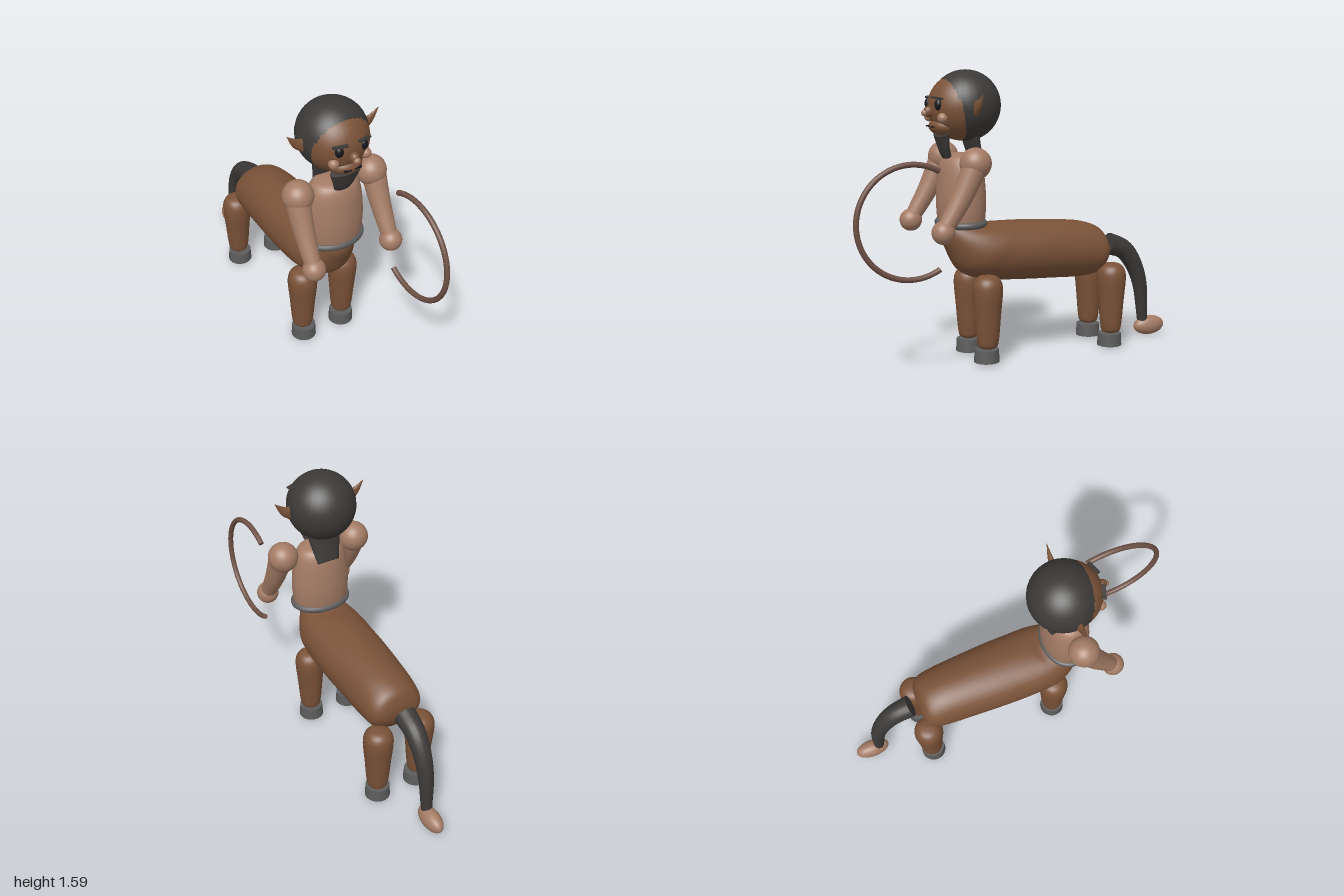
import * as THREE from 'three';
import { toCreasedNormals } from 'three/addons/utils/BufferGeometryUtils.js';

const V = (x, y, z) => new THREE.Vector3(x, y, z);
const mat = (color) => new THREE.MeshStandardMaterial({ color });
const skin = mat(0xa47c66), brown = mat(0x7a5238), hair = mat(0x3c3a38);
const hoofGrey = mat(0x5c5c5c), wood = mat(0x6e5146), black = mat(0x17181c);

export function createModel() {
  const model = new THREE.Group();

  function add(name, geometry, material, x = 0, y = 0, z = 0, parent = model) {
    const mesh = new THREE.Mesh(geometry, material);
    mesh.name = name;
    mesh.position.set(x, y, z);
    parent.add(mesh);
    return mesh;
  }

  function ellipsoid(name, material, [x, y, z], rx, ry = rx, rz = rx) {
    return add(name, new THREE.SphereGeometry(1, 32, 24).scale(rx, ry, rz), material, x, y, z);
  }

  // Capped tube along a curve, tapering from r0 to r1; sx and sz flatten the section
  function taper(points, r0, r1, sx = 1, sz = 1) {
    const n = 24, sides = 20;
    const curve = new THREE.CatmullRomCurve3(points);
    const geo = new THREE.TubeGeometry(curve, n, 1, sides, false);
    const pos = geo.attributes.position, p = V(0, 0, 0);
    for (let i = 0; i <= n; i++) {
      const center = curve.getPointAt(i / n);
      const t = i <= 1 ? 0 : i >= n - 1 ? 1 : i / n;
      const target = curve.getPointAt(t);
      const r = i === 0 || i === n ? 0 : r0 + (r1 - r0) * t;
      for (let j = 0; j <= sides; j++) {
        const k = i * (sides + 1) + j;
        p.fromBufferAttribute(pos, k).sub(center).multiplyScalar(r);
        pos.setXYZ(k, target.x + p.x * sx, target.y + p.y, target.z + p.z * sz);
      }
    }
    return toCreasedNormals(geo, 0.9);
  }

  // Loft between a back line and a belly line; x holds the half width
  function loft(backPts, bellyPts) {
    const back = new THREE.CatmullRomCurve3(backPts), belly = new THREE.CatmullRomCurve3(bellyPts);
    const n = 48, sides = 40, verts = [], index = [];
    for (let i = 0; i <= n; i++) {
      const a = back.getPoint(i / n), b = belly.getPoint(i / n);
      for (let j = 0; j < sides; j++) {
        const t = (j / sides) * Math.PI * 2, c = Math.cos(t) / 2;
        verts.push(a.x * Math.sin(t), (a.y + b.y) / 2 + (a.y - b.y) * c, (a.z + b.z) / 2 + (a.z - b.z) * c);
        if (i === n) continue;
        const p = i * sides + j, q = i * sides + (j + 1) % sides;
        index.push(p, q, p + sides, q, q + sides, p + sides);
      }
    }
    const geo = new THREE.BufferGeometry();
    geo.setAttribute('position', new THREE.Float32BufferAttribute(verts, 3));
    geo.setIndex(index);
    geo.computeVertexNormals();
    return geo;
  }

  const lathe = (pts, seg = 32) =>
    new THREE.LatheGeometry(pts.map(([r, y]) => new THREE.Vector2(r, y)), seg);
  const smoothLathe = (pts) => new THREE.LatheGeometry(
    new THREE.SplineCurve(pts.map(([r, y]) => new THREE.Vector2(r, y))).getPoints(32)
      .map((p) => new THREE.Vector2(Math.max(p.x, 0), p.y)), 36);

  // Four-legged body: [half width, back y, back z, belly y, belly z]
  const sections = [
    [0.03, 0.80, 0.27, 0.81, 0.40], [0.095, 0.755, 0.18, 0.745, 0.445],
    [0.15, 0.757, 0.12, 0.62, 0.40], [0.184, 0.757, 0.05, 0.50, 0.33],
    [0.19, 0.755, -0.04, 0.445, 0.20], [0.19, 0.75, -0.14, 0.425, 0.0],
    [0.18, 0.738, -0.30, 0.412, -0.23], [0.17, 0.718, -0.44, 0.405, -0.41],
    [0.155, 0.68, -0.53, 0.42, -0.50], [0.11, 0.62, -0.562, 0.49, -0.555],
    [0, 0.555, -0.57, 0.555, -0.57],
  ];
  add('body', loft(sections.map((s) => V(s[0], s[1], s[2])),
    sections.map((s) => V(s[0], s[3], s[4]))), brown);

  // Legs and hooves
  const legGeo = smoothLathe([[0, 0.08], [0.045, 0.09], [0.06, 0.13], [0.072, 0.27],
    [0.083, 0.40], [0.074, 0.455], [0.045, 0.483], [0, 0.49]]);
  const hoofGeo = toCreasedNormals(lathe([[0, 0.01], [0.07, 0.01], [0.066, 0.08], [0, 0.08]]), 0.6);
  for (const side of [1, -1]) {
    for (const [end, z] of [['front', 0.217], ['hind', -0.558]]) {
      const sideName = side > 0 ? 'Left' : 'Right';
      add(`${end}${sideName}Leg`, legGeo, brown, side * 0.13, 0, z);
      add(`${end}${sideName}Hoof`, hoofGeo, hoofGrey, side * 0.125, 0, z + 0.005);
    }
  }

  // Tail with a soft tip
  add('tail', taper([V(0, 0.575, -0.61), V(0, 0.535, -0.71), V(0, 0.45, -0.78),
    V(0, 0.32, -0.83), V(0, 0.09, -0.855)], 0.063, 0.03), hair);
  ellipsoid('tailTip', skin, [0, 0.057, -0.9], 0.05, 0.057, 0.1);

  // Torso and belt
  const torso = add('torso', smoothLathe([[0, 0.74], [0.13, 0.742], [0.157, 0.775], [0.167, 0.87],
    [0.163, 0.97], [0.148, 1.07], [0.12, 1.123], [0.07, 1.14], [0, 1.143]]), skin, 0, 0, 0.315);
  torso.scale.z = 0.77;
  const belt = add('belt', new THREE.TorusGeometry(0.158, 0.018, 12, 48).rotateX(Math.PI / 2),
    hoofGrey, 0, 0.767, 0.317);
  belt.scale.z = 0.77;

  // Arms and ears, mirrored
  for (const side of [1, -1]) {
    const s = side > 0 ? 'left' : 'right';
    ellipsoid(`${s}Shoulder`, skin, [side * 0.222, 1.107, 0.325], 0.084);
    add(`${s}Arm`, taper([V(side * 0.232, 1.1, 0.33), V(side * 0.235, 0.93, 0.412),
      V(side * 0.238, 0.77, 0.51)], 0.068, 0.043), skin);
    ellipsoid(`${s}Hand`, skin, [side * 0.238, 0.76, 0.515], 0.062);
    add(`${s}Ear`, taper([V(side * 0.16, 1.385, 0.3), V(side * 0.215, 1.41, 0.3),
      V(side * 0.27, 1.467, 0.3)], 0.046, 0.001, 1, 0.5), brown);
  }

  // Head, hair, mane and beard
  ellipsoid('hair', hair, [0, 1.397, 0.285], 0.19);
  ellipsoid('face', brown, [0, 1.39, 0.31], 0.18);
  ellipsoid('muzzle', brown, [0, 1.29, 0.39], 0.1, 0.055, 0.1);
  add('mane', taper([V(0, 1.3, 0.265), V(0, 1.2, 0.25), V(0, 1.07, 0.212)], 0.115, 0.065, 1, 0.32), hair);
  add('beard', taper([V(0, 1.25, 0.425), V(0, 1.17, 0.41), V(0, 1.09, 0.375)], 0.095, 0.035, 1, 0.28), hair);

  // Facial features
  for (const side of [1, -1]) {
    const s = side > 0 ? 'left' : 'right';
    ellipsoid(`${s}Eye`, black, [side * 0.071, 1.407, 0.468], 0.023, 0.031, 0.02);
    ellipsoid(`${s}Cheek`, skin, [side * 0.095, 1.338, 0.455], 0.028);
    const brow = add(`${s}Brow`, new THREE.BoxGeometry(0.08, 0.009, 0.02), hair, side * 0.07, 1.442, 0.475);
    brow.rotation.set(0, side * 0.3, -side * 0.08);
    add(`${s}Lip`, new THREE.BoxGeometry(0.04, 0.006, 0.012), black, side * 0.03, 1.29, 0.485);
  }
  ellipsoid('nose', brown, [0, 1.368, 0.495], 0.026, 0.03, 0.03);
  ellipsoid('noseTip', skin, [0, 1.362, 0.518], 0.018);

  // Curved bow, open toward the body
  const arc = Math.PI * 4 / 3;
  const bowGroup = new THREE.Group();
  bowGroup.name = 'bow';
  bowGroup.position.set(0.25, 0.827, 0.69);
  bowGroup.rotation.y = -Math.PI / 2;
  model.add(bowGroup);
  add('bowArc', new THREE.TorusGeometry(0.295, 0.015, 12, 64, arc).rotateZ(-arc / 2), wood, 0, 0, 0, bowGroup);
  for (const s of [1, -1]) {
    const a = s * arc / 2;
    const cap = add('bowEnd', new THREE.CylinderGeometry(0.015, 0.015, 0.004, 12), wood,
      0.295 * Math.cos(a), 0.295 * Math.sin(a), 0, bowGroup);
    cap.rotation.z = a;
  }
  return model;
}
